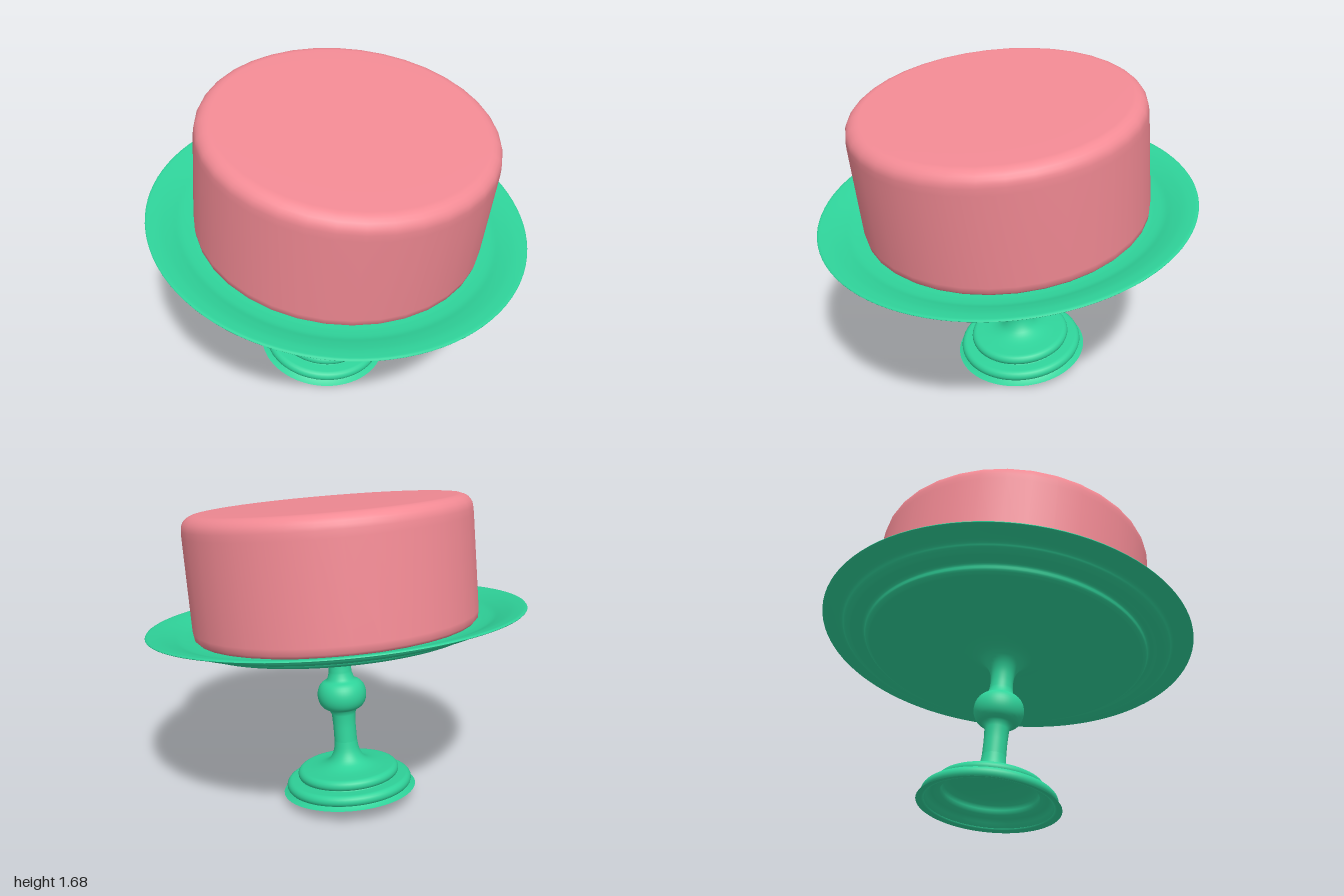
import * as THREE from 'three';

const green = new THREE.MeshStandardMaterial({ color: 0x2fd39a, side: THREE.DoubleSide });
const pink = new THREE.MeshStandardMaterial({ color: 0xf28a94 });

const v = ([r, h]) => new THREE.Vector2(r, h);

// points on an elliptical arc in the profile plane, angles in degrees
function arc(r, h, rx, ry, from, to, n) {
  return Array.from({ length: n + 1 }, (_, i) => {
    const a = THREE.MathUtils.degToRad(from + (to - from) * i / n);
    return [r + rx * Math.cos(a), h + ry * Math.sin(a)];
  });
}

// smooth run of points through a few knots
function smooth(knots, n) {
  return new THREE.SplineCurve(knots.map(v)).getPoints(n).map(p => [p.x, p.y]);
}

function turned(name, profile, material, segments) {
  const mesh = new THREE.Mesh(new THREE.LatheGeometry(profile.map(v), segments), material);
  mesh.name = name;
  return mesh;
}

export function createModel() {
  const model = new THREE.Group();
  model.name = 'cakeOnStand';

  // everything shares one leaning axis
  const leaning = new THREE.Group();
  leaning.name = 'leaningCakeStand';
  leaning.position.set(-0.127, 0.05, -0.013);
  leaning.rotation.set(THREE.MathUtils.degToRad(1.1), 0, THREE.MathUtils.degToRad(-7.65));
  model.add(leaning);

  // two-tier foot with a thin flange
  leaning.add(turned('foot', [
    [0.362, 0], [0.335, 0.006],
    ...arc(0.312, 0.038, 0.03, 0.03, -70, 90, 8),
    [0.27, 0.069],
    ...arc(0.246, 0.097, 0.03, 0.029, -70, 90, 8),
    ...smooth([[0.21, 0.128], [0.15, 0.137], [0.1, 0.162], [0.071, 0.21], [0.062, 0.27]], 14),
  ], green, 64));

  // hollow underside of the foot
  leaning.add(turned('footUnderside', [
    [0, 0.15], [0.1, 0.14], [0.2, 0.115], [0.235, 0.1], [0.245, 0.08],
    [0.25, 0.055], [0.29, 0.05], [0.315, 0.035], [0.325, 0.012], [0.362, 0],
  ], green, 64));

  // stem with a rounded knob, flaring out under the plate
  leaning.add(turned('stem', [
    [0.062, 0.26], [0.061, 0.35], [0.064, 0.42], [0.075, 0.445],
    ...arc(0.075, 0.53, 0.057, 0.08, -80, 80, 14),
    [0.072, 0.62],
    ...smooth([[0.063, 0.65], [0.06, 0.7], [0.068, 0.755], [0.095, 0.805], [0.14, 0.842], [0.22, 0.861]], 18),
  ], green, 48));

  // underside of the plate, stepped and rolled
  leaning.add(turned('plateUnderside', [
    [0, 0.861], [0.69, 0.861], [0.715, 0.861],
    ...smooth([[0.735, 0.863], [0.757, 0.877], [0.765, 0.9], [0.785, 0.909], [0.815, 0.9]], 12),
    ...smooth([[0.84, 0.902], [0.875, 0.917], [0.89, 0.934], [0.92, 0.942], [0.99, 0.955], [1.0, 0.96]], 14),
  ], green, 96));

  // shallow dish on top
  leaning.add(turned('plateTop', [
    [1.0, 0.96], [0.996, 0.966],
    ...smooth([[0.985, 0.966], [0.93, 0.957], [0.87, 0.938], [0.82, 0.919], [0.76, 0.91]], 14),
    [0.7, 0.908], [0, 0.908],
  ].reverse(), green, 96));

  // round cake with a softened top edge
  leaning.add(turned('cake', [
    [0, 0.909], [0.735, 0.909], [0.75, 0.925], [0.756, 0.96], [0.756, 1.45],
    ...arc(0.676, 1.485, 0.078, 0.072, 0, 90, 6),
    [0.5, 1.558], [0, 1.558],
  ], pink, 36));

  return model;
}
